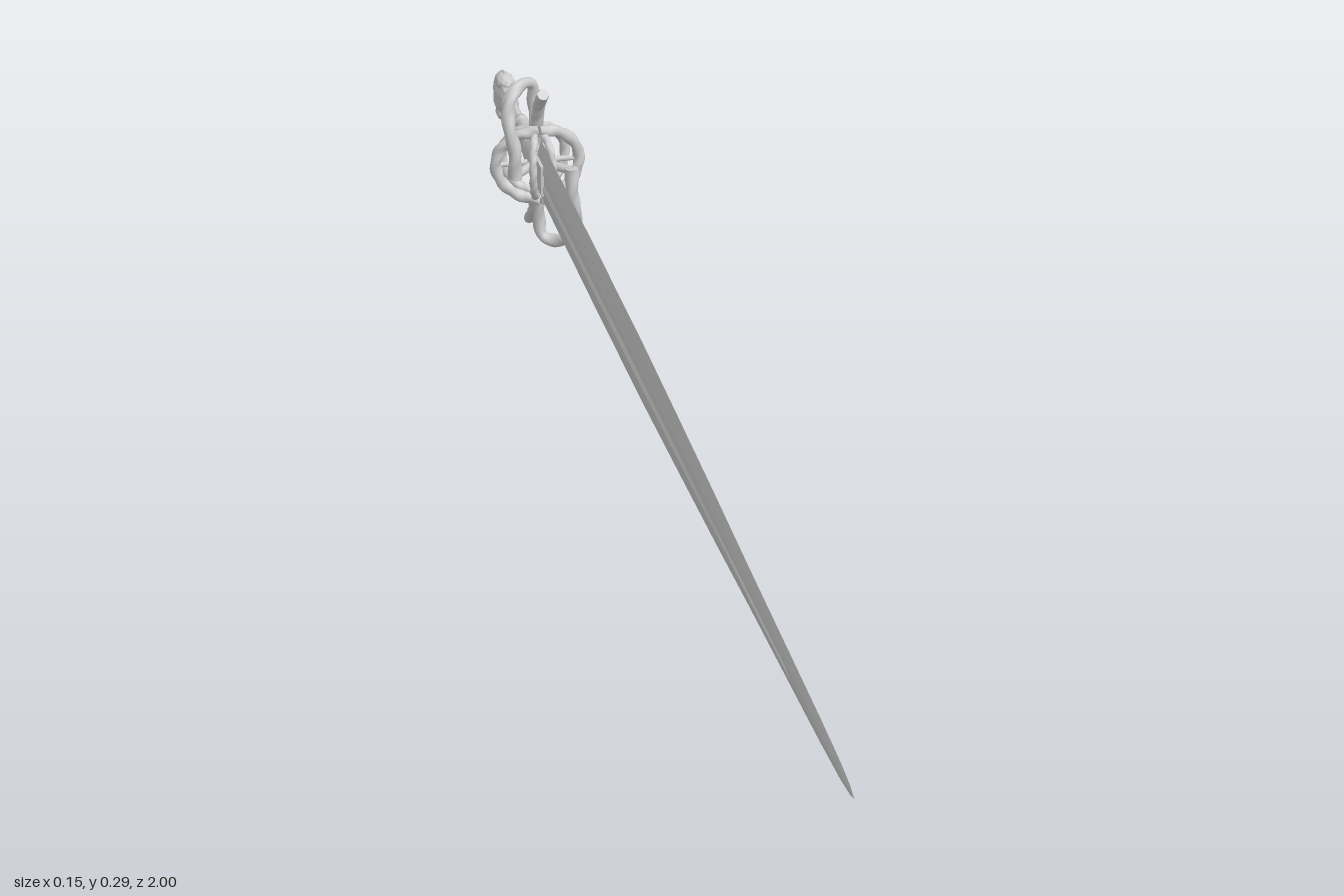
import * as THREE from 'three';

const CY = 0.148; // height of the sword's axis
const V = (p) => new THREE.Vector3(...p);
const smooth = new THREE.MeshStandardMaterial({ color: 0xcccccc, side: THREE.DoubleSide });
const flat = new THREE.MeshStandardMaterial({ color: 0xcccccc, side: THREE.DoubleSide, flatShading: true });

function add(parent, name, geometry, material = smooth) {
  const mesh = new THREE.Mesh(geometry, material);
  mesh.name = name;
  parent.add(mesh);
  return mesh;
}

// Forged bar along a path, with a softly twisted surface and flat end caps.
function bar(parent, name, points, r0, r1 = r0, twist = 0.12, closed = false) {
  const group = new THREE.Group();
  group.name = name;
  const curve = new THREE.CatmullRomCurve3(points.map(V), closed);
  const rings = 40, sides = 10;
  const tube = new THREE.TubeGeometry(curve, rings, 1, sides, closed);
  const pos = tube.attributes.position, nor = tube.attributes.normal;
  const n = new THREE.Vector3(), p = new THREE.Vector3();
  for (let i = 0; i <= rings; i++) {
    const r = r0 + (r1 - r0) * i / rings;
    for (let j = 0; j <= sides; j++) {
      const k = i * (sides + 1) + j;
      n.fromBufferAttribute(nor, k);
      const bulge = 1 + twist * Math.sin(2 * Math.PI * (2 * j / sides + 6 * i / rings));
      p.fromBufferAttribute(pos, k).addScaledVector(n, r * bulge - 1);
      pos.setXYZ(k, p.x, p.y, p.z);
    }
  }
  tube.computeVertexNormals();
  add(group, name + 'Shaft', tube);
  if (!closed) for (const [t, r, s] of [[0, r0, -1], [1, r1, 1]]) {
    const cap = add(group, name + 'Cap', new THREE.CircleGeometry(r, sides));
    cap.position.copy(curve.getPoint(t));
    cap.quaternion.setFromUnitVectors(new THREE.Vector3(0, 0, 1), curve.getTangent(t).multiplyScalar(s));
  }
  parent.add(group);
  return group;
}

// Solid of revolution along the sword axis: points are [radius, distance behind centre].
function turned(parent, name, profile, sx, sides = 14, material = smooth) {
  const geometry = new THREE.LatheGeometry(profile.map((p) => new THREE.Vector2(...p)), sides);
  geometry.rotateX(-Math.PI / 2);
  geometry.scale(sx, 1, 1);
  return add(parent, name, geometry, material);
}

// Blade: hollow-centred lozenge sections joined from guard to tip.
function bladeGeometry() {
  // z, half height, half thickness, fuller depth
  const stations = [
    [-0.66, 0.05, 0.008, 0], [-0.6, 0.05, 0.0075, 0.003], [-0.3, 0.0495, 0.007, 0.003],
    [0, 0.047, 0.006, 0.003], [0.2, 0.041, 0.0055, 0.0025], [0.4, 0.034, 0.005, 0.002],
    [0.56, 0.027, 0.0045, 0.002], [0.73, 0.021, 0.004, 0.0015], [0.76, 0.02, 0.004, 0],
    [0.87, 0.016, 0.0035, 0], [0.95, 0.011, 0.0025, 0], [0.985, 0.006, 0.0015, 0], [1, 0.0005, 0.0003, 0],
  ];
  const half = [[0, 1], [0.6, 0.62], [1, 0.26], [1, 0.14], [1, 0], [1, -0.14], [1, -0.26], [0.6, -0.62]];
  const section = [...half, ...half.map(([x, y]) => [-x, -y])];
  const count = section.length, verts = [], index = [];
  for (const [z, h, t, fuller] of stations)
    for (const [x, y] of section) {
      const groove = Math.abs(y) < 0.2 ? Math.sign(x) * fuller : 0;
      verts.push(x * t - groove, y * h, z);
    }
  for (let i = 0; i < stations.length - 1; i++)
    for (let j = 0; j < count; j++) {
      const a = i * count + j, b = i * count + (j + 1) % count;
      index.push(a, a + count, b, b, a + count, b + count);
    }
  const geometry = new THREE.BufferGeometry();
  geometry.setAttribute('position', new THREE.Float32BufferAttribute(verts, 3));
  geometry.setIndex(index);
  return geometry;
}

export function createModel() {
  const model = new THREE.Group();
  model.name = 'sword';
  const sword = new THREE.Group();
  sword.name = 'swordParts';
  sword.position.y = CY;
  model.add(sword);

  add(sword, 'blade', bladeGeometry(), flat);

  // Collar gripping the blade root and the block at the centre of the guard
  const collar = add(sword, 'bladeCollar', new THREE.BoxGeometry(0.02, 0.05, 0.07));
  collar.position.z = -0.65;
  const block = add(sword, 'guardBlock', new THREE.CylinderGeometry(0.03, 0.03, 0.05, 12));
  block.rotation.x = Math.PI / 2;
  block.scale.x = 0.55;
  block.position.z = -0.695;

  // Crossguard arms: the upper sweeps forward, the lower sweeps back
  bar(sword, 'upperQuillon', [[0, 0, -0.7], [0, 0.05, -0.692], [0, 0.1, -0.672], [0, 0.136, -0.636]], 0.011, 0.009, 0.06);
  bar(sword, 'lowerQuillon', [[0, 0, -0.69], [0, -0.05, -0.7], [0, -0.1, -0.725], [0, -0.132, -0.762]], 0.011, 0.009, 0.06);

  // Hooked loops, repeated by a half turn about the blade axis
  for (const [side, turn] of [['left', 0], ['right', Math.PI]]) {
    const half = new THREE.Group();
    half.name = side + 'Guard';
    half.rotation.z = turn;
    sword.add(half);

    bar(half, side + 'HookLoop', [
      [0.045, 0.004, -0.645], [0.045, -0.045, -0.643], [0.052, -0.085, -0.65], [0.045, -0.122, -0.665],
      [0.025, -0.136, -0.68], [0.006, -0.13, -0.695], [0.003, -0.095, -0.698], [0.002, -0.05, -0.69],
    ], 0.0105, 0.009);

    // Outer side ring
    const ring = [], inner = [];
    for (let i = 0; i <= 8; i++) {
      const a = -Math.PI / 2 + Math.PI * i / 8, c = Math.cos(a), s = Math.sin(a);
      ring.push([0.066 * c, 0.058 * s, -0.675 - 0.015 * c]);
      inner.push([0.05 * c, 0.055 * s, -0.695 - 0.025 * c]);
    }
    bar(half, side + 'SideRing', ring, 0.009);
    bar(half, side + 'RearRing', inner, 0.0075);

    // Struts holding the rings and the hook to the block
    bar(half, side + 'RingStrut', [[0.005, 0, -0.69], [0.035, 0, -0.692], [0.066, 0, -0.69]], 0.005, 0.004, 0);
    bar(half, side + 'HookStrut', [[0.005, 0, -0.685], [0.025, 0, -0.665], [0.045, 0, -0.645]], 0.007, 0.007, 0);
    // Finger arm curving beside the blade root
    bar(half, side + 'FingerArm', [
      [0.006, 0.055, -0.675], [0.013, 0.035, -0.655], [0.016, 0, -0.645], [0.013, -0.035, -0.655], [0.006, -0.055, -0.675],
    ], 0.006);
  }

  // Two-stage grip with ferrules
  turned(sword, 'grip', [[0, 0.7], [0.024, 0.7], [0.025, 0.72], [0.023, 0.81], [0.018, 0.815], [0.019, 0.87], [0.016, 0.93]], 0.55);
  for (const z of [0.735, 0.812, 0.905])
    turned(sword, 'gripFerrule', [[0.018, z - 0.006], [0.026, z - 0.004], [0.026, z + 0.004], [0.018, z + 0.006]], 0.56);

  // Faceted pommel with raised side lobes
  turned(sword, 'pommel', [[0, 0.912], [0.018, 0.915], [0.03, 0.925], [0.043, 0.943], [0.041, 0.96], [0.028, 0.985], [0.018, 0.998], [0, 1]], 0.42, 10, flat);
  for (const sy of [-1, 1]) {
    const lobe = add(sword, 'pommelLobe', new THREE.IcosahedronGeometry(0.016, 1), flat);
    lobe.scale.set(1, 0.9, 1.5);
    lobe.position.set(0, sy * 0.027, -0.945);
  }
  return model;
}
